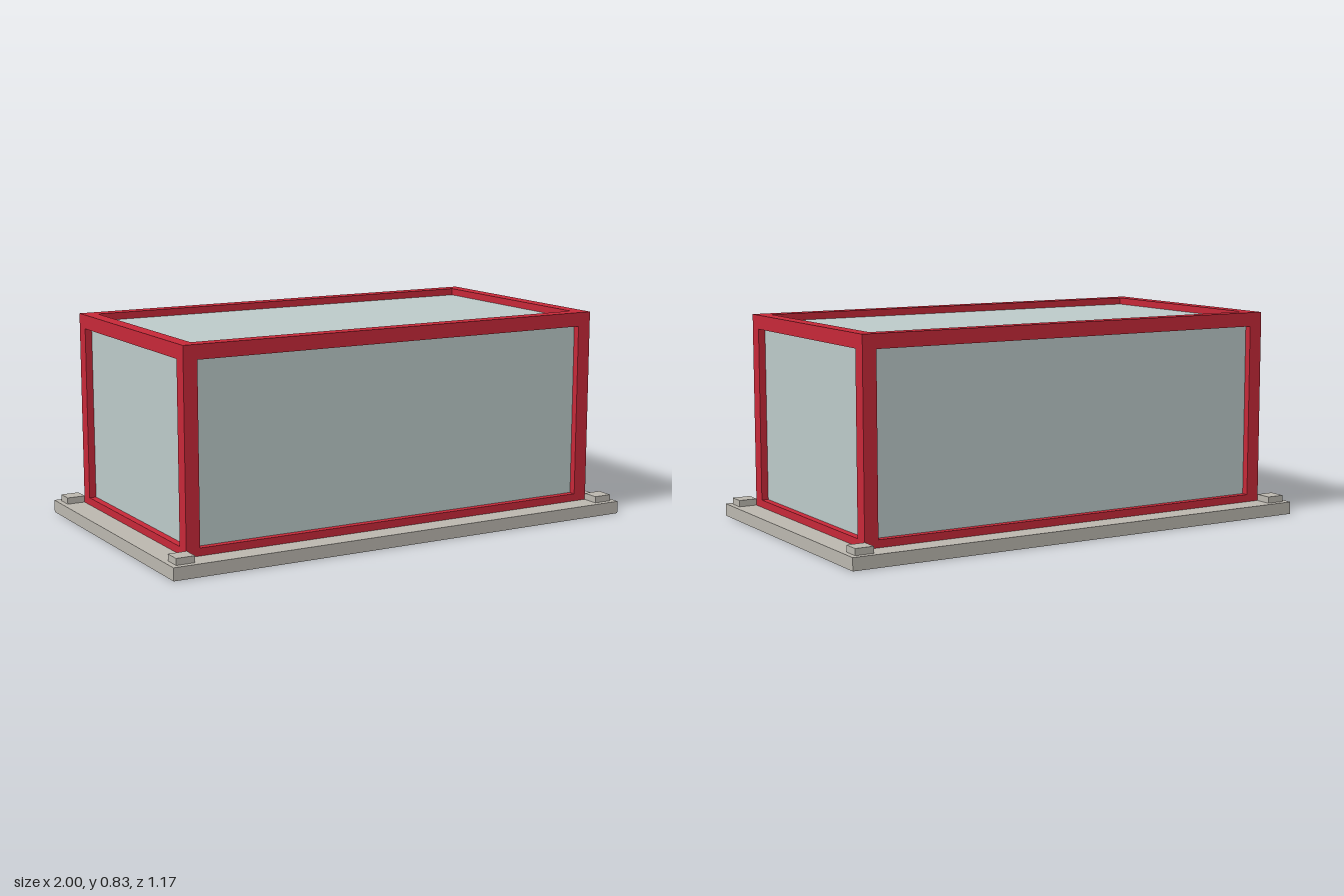
import * as THREE from 'three';

export function createModel() {
  const model = new THREE.Group();
  const stone = new THREE.MeshStandardMaterial({ name: 'warm grey stone', color: 0xbab6ae });
  const red = new THREE.MeshStandardMaterial({ name: 'red frame', color: 0xc62838 });
  const glass = new THREE.MeshStandardMaterial({ name: 'pale glass', color: 0xbbc9c8 });

  function box(name, material, size, position) {
    const mesh = new THREE.Mesh(new THREE.BoxGeometry(...size), material);
    mesh.name = name;
    mesh.position.set(...position);
    model.add(mesh);
  }

  const W = 1.81, D = 0.98, bar = 0.056;     // frame footprint and bar thickness
  const floor = 0.05, top = 0.83, low = 0.08; // base top, frame top, lower rail top
  const inset = bar / 2;
  const px = W / 2 - bar / 2, pz = D / 2 - bar / 2;

  // Base slab
  box('base', stone, [2, floor, 1.17], [0, floor / 2, 0]);

  // Corner pads and upright posts
  for (const sx of [-1, 1]) for (const sz of [-1, 1]) {
    box('cornerPad', stone, [0.075, 0.026, 0.071], [sx * 0.941, floor + 0.013, sz * 0.526]);
    box('cornerPost', red, [bar, top - floor, bar], [sx * px, (top + floor) / 2, sz * pz]);
  }

  // Upper and lower rails between the posts
  for (const [label, y0, y1] of [['lower', floor, low], ['upper', top - bar, top]]) {
    const h = y1 - y0, y = (y0 + y1) / 2;
    for (const s of [-1, 1]) {
      box(label + 'LongRail', red, [W - 2 * bar, h, bar], [0, y, s * pz]);
      box(label + 'ShortRail', red, [bar, h, D - 2 * bar], [s * px, y, 0]);
    }
  }

  // Recessed panes, seated halfway into the frame
  const t = 0.008, paneH = top - inset - floor, paneY = floor + paneH / 2;
  for (const s of [-1, 1]) {
    box('longPane', glass, [W - bar, paneH, t], [0, paneY, s * (D / 2 - inset - t / 2)]);
    box('endPane', glass, [t, paneH, D - bar], [s * (W / 2 - inset - t / 2), paneY, 0]);
  }
  box('roofPane', glass, [W - bar, t, D - bar], [0, top - inset - t / 2, 0]);

  return model;
}
